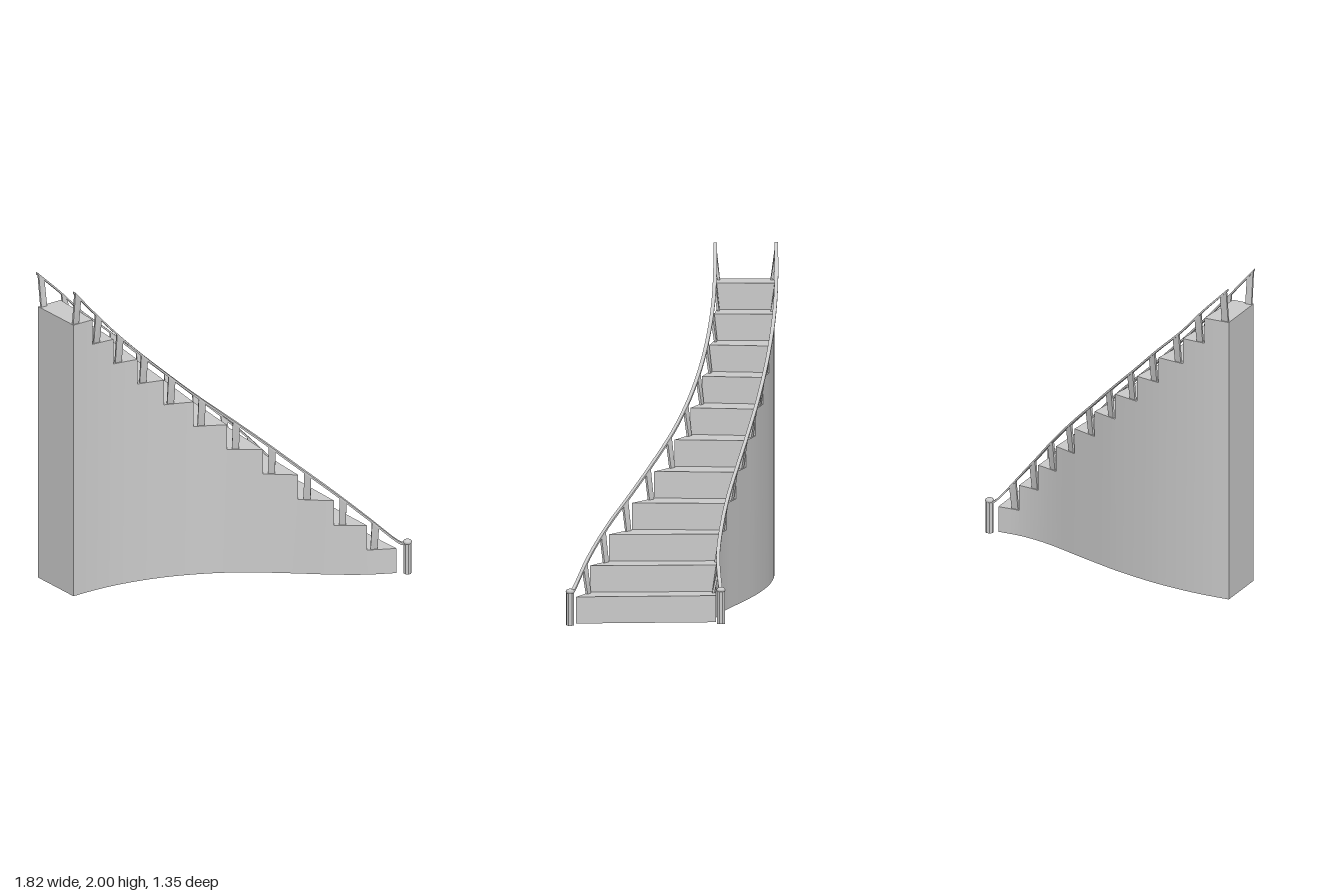
import * as THREE from 'three';
import { toCreasedNormals } from 'three/addons/utils/BufferGeometryUtils.js';

const STEPS = 11, RISE = 1.78 / STEPS, SUB = 5;
const V = (x, y, z) => new THREE.Vector3(x, y, z);
const mat = new THREE.MeshStandardMaterial({ color: 0xcccccc, side: THREE.DoubleSide });

// Plan of each step nosing, bottom to top: [x, z] on the front and back edge
const frontPlan = [[0.83, 0.605], [0.675, 0.515], [0.52, 0.395], [0.36, 0.25], [0.2, 0.11], [0.03, -0.02],
  [-0.145, -0.122], [-0.31, -0.197], [-0.472, -0.25], [-0.625, -0.285], [-0.77, -0.303], [-0.91, -0.31]];
const backPlan = [[0.82, -0.235], [0.68, -0.24], [0.54, -0.268], [0.4, -0.315], [0.245, -0.38], [0.08, -0.447],
  [-0.085, -0.51], [-0.255, -0.563], [-0.42, -0.605], [-0.595, -0.635], [-0.745, -0.65], [-0.91, -0.655]];

const curve = (pts) => new THREE.CatmullRomCurve3(pts, false, 'catmullrom', 0.5);
const planCurve = (plan) => curve(plan.map(([x, z]) => V(x, 0, z)));

function meshFromQuads(quads, name) {
  const pos = [];
  for (const [a, b, c, d] of quads) for (const p of [a, b, c, a, c, d]) pos.push(p.x, p.y, p.z);
  const g = new THREE.BufferGeometry();
  g.setAttribute('position', new THREE.Float32BufferAttribute(pos, 3));
  const m = new THREE.Mesh(toCreasedNormals(g, 0.5), mat);
  m.name = name;
  return m;
}

// Curved stepped shell, open underneath
function makeSteps() {
  const F = planCurve(frontPlan), B = planCurve(backPlan), quads = [];
  const at = (c, t, y) => c.getPoint(t / STEPS).setY(y);
  for (let i = 0; i < STEPS; i++) {
    const h = (i + 1) * RISE;
    quads.push([at(F, i, i * RISE), at(B, i, i * RISE), at(B, i, h), at(F, i, h)]);
    for (let j = 0; j < SUB; j++) {
      const s = i + j / SUB, e = i + (j + 1) / SUB;
      quads.push([at(F, e, 0), at(F, s, 0), at(F, s, h), at(F, e, h)]);
      quads.push([at(B, s, 0), at(B, e, 0), at(B, e, h), at(B, s, h)]);
      quads.push([at(F, e, h), at(F, s, h), at(B, s, h), at(B, e, h)]);
    }
  }
  const top = STEPS * RISE;
  quads.push([at(B, STEPS, 0), at(F, STEPS, 0), at(F, STEPS, top), at(B, STEPS, top)]);
  return meshFromQuads(quads, 'steps');
}

// Horizontal unit vector across a path, pointing to its right
const across = (tan) => V(-tan.z, 0, tan.x).normalize();

// Flat bar of rectangular section swept along the rail curve
function makeHandrail(rail) {
  const n = 48, w = 0.011, h = 0.0075, rings = [], quads = [];
  for (let k = 0; k <= n; k++) {
    const p = rail.getPoint(k / n), s = across(rail.getTangent(k / n));
    rings.push([[-w, -h], [w, -h], [w, h], [-w, h]].map(([a, b]) => p.clone().addScaledVector(s, a).setY(p.y + b)));
  }
  for (let k = 0; k < n; k++) for (let q = 0; q < 4; q++) {
    const r = (q + 1) % 4;
    quads.push([rings[k][q], rings[k][r], rings[k + 1][r], rings[k + 1][q]]);
  }
  quads.push([...rings[0]].reverse(), rings[n]);
  return meshFromQuads(quads, 'handrail');
}

// Flat baluster leaning from the tread out to the rail, its top cut to the slope
function makeBaluster(edge, rail, i, inward) {
  const t = i + (i === STEPS - 1 ? 0.82 : 0.76), u = (t + 1) / (STEPS + 1);
  const base = edge.getPoint(t / STEPS), dir = edge.getTangent(t / STEPS), side = across(dir);
  base.addScaledVector(side, inward * 0.014).setY((i + 1) * RISE);
  const head = rail.getPoint(u), slope = rail.getTangent(u);
  slope.divideScalar(Math.hypot(slope.x, slope.z));
  const g = new THREE.BoxGeometry(0.042, 1, 0.014), p = g.attributes.position;
  for (let k = 0; k < p.count; k++) {
    const isTop = p.getY(k) > 0;
    const v = (isTop ? head : base).clone()
      .addScaledVector(isTop ? slope : dir, p.getX(k)).addScaledVector(side, p.getZ(k));
    p.setXYZ(k, v.x, v.y, v.z);
  }
  const flat = g.toNonIndexed();
  flat.computeVertexNormals();
  const m = new THREE.Mesh(flat, mat);
  m.name = 'baluster';
  return m;
}

// Octagonal newel post with a rounded cap
function makeNewel(x, z) {
  const g = new THREE.Group();
  g.name = 'newelPost';
  const flatMat = mat.clone();
  flatMat.flatShading = true;
  const post = new THREE.Mesh(new THREE.CylinderGeometry(0.025, 0.025, 0.2, 8).rotateY(Math.PI / 8), flatMat);
  post.name = 'post';
  post.position.set(x, 0.1, z);
  const cap = new THREE.Mesh(new THREE.SphereGeometry(0.028, 10, 6).scale(1, 0.6, 1), mat);
  cap.name = 'postCap';
  cap.position.set(x, 0.205, z);
  g.add(post, cap);
  return g;
}

// Handrail, balusters and newel for one edge of the flight
function makeRailing(name, plan, offsets, newel, inward) {
  const g = new THREE.Group();
  g.name = name;
  const edge = planCurve(plan);
  const pts = plan.map(([x, z], i) => V(x, 0.2125 + i * RISE, z + (i === 0 ? offsets[0] : offsets[1])));
  const rail = curve([V(newel[0], 0.198, newel[1]), ...pts]);
  g.add(makeHandrail(rail), makeNewel(...newel));
  for (let i = 0; i < STEPS; i++) g.add(makeBaluster(edge, rail, i, inward));
  return g;
}

export function createModel() {
  const model = new THREE.Group();
  model.name = 'curvedStaircase';
  model.add(
    makeSteps(),
    makeRailing('frontRailing', frontPlan, [0.012, 0.008], [0.884, 0.643], 1),
    makeRailing('backRailing', backPlan, [-0.025, -0.013], [0.866, -0.262], -1),
  );
  // across() points to the back (-z) side while climbing towards -x
  return model;
}
